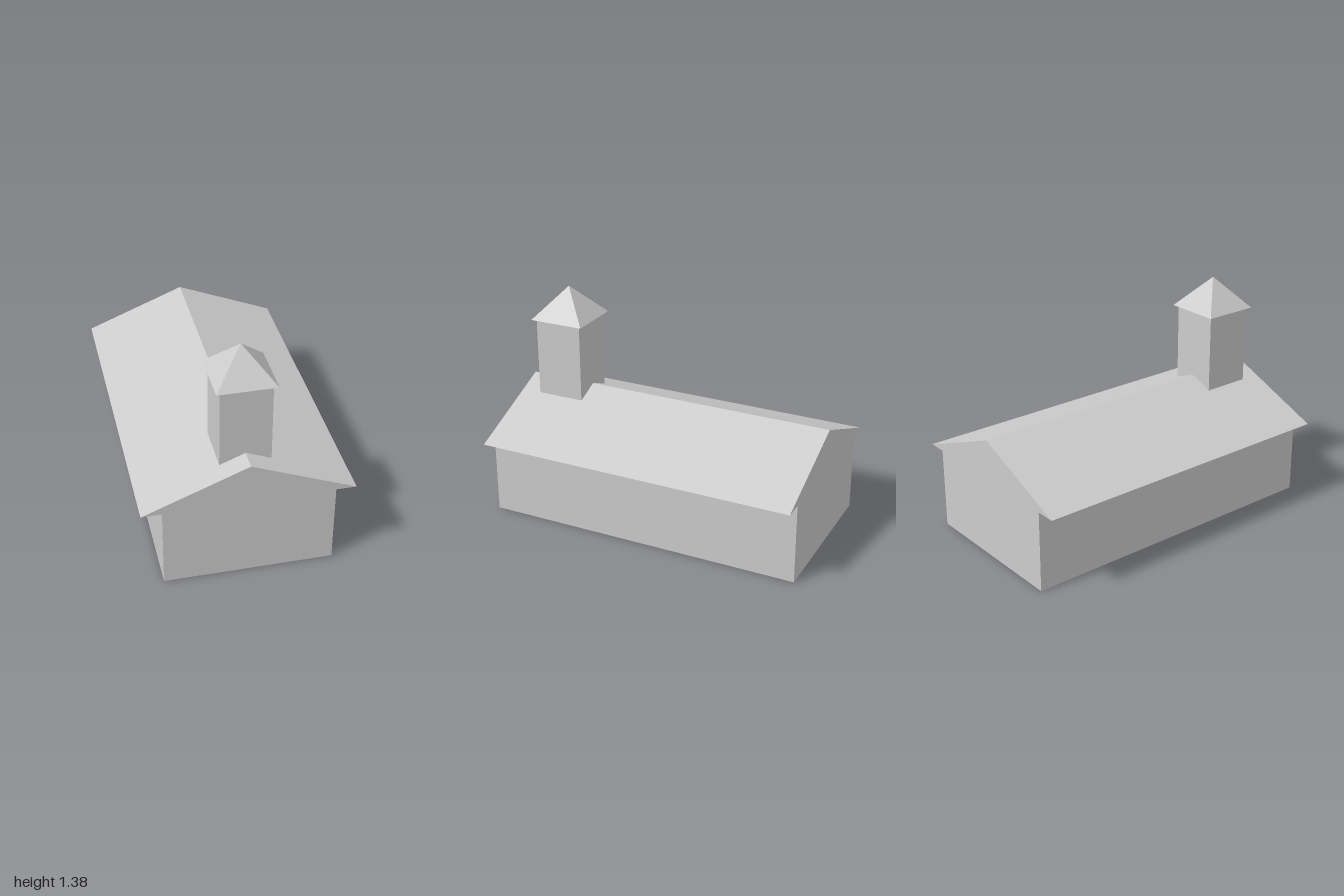
import * as THREE from 'three';

const material = new THREE.MeshStandardMaterial({ color: 0xcccccc, flatShading: true });

function addPart(group, name, geometry, x, y, z) {
  const mesh = new THREE.Mesh(geometry, material);
  mesh.name = name;
  mesh.position.set(x, y, z);
  group.add(mesh);
  return mesh;
}

export function createModel() {
  const group = new THREE.Group();
  group.name = 'chapel';

  const length = 2;
  const halfWall = 0.5, halfRoof = 0.62;
  const eaveY = 0.5, ridgeY = 0.75;

  // Hall: walls and overhanging gable roof as one gable-end profile
  const profile = new THREE.Shape([
    [-halfWall, 0], [halfWall, 0], [halfWall, eaveY], [halfRoof, eaveY],
    [0, ridgeY], [-halfRoof, eaveY], [-halfWall, eaveY],
  ].map(([x, y]) => new THREE.Vector2(x, y)));
  const hall = new THREE.ExtrudeGeometry(profile, { depth: length, bevelEnabled: false });
  addPart(group, 'hallWithGableRoof', hall, 0, 0, -length / 2);

  // Square tower standing over the ridge, its sides meeting the roof slopes
  const towerZ = 0.725, towerWidth = 0.3, towerTop = 1.18;
  const towerBase = ridgeY - (ridgeY - eaveY) * (towerWidth / 2) / halfRoof;
  const towerHeight = towerTop - towerBase;
  addPart(group, 'tower', new THREE.BoxGeometry(towerWidth, towerHeight, towerWidth),
    0, towerBase + towerHeight / 2, towerZ);

  // Four-sided pyramid cap with a small overhang
  const capHalf = 0.174, capHeight = 0.195;
  const cap = new THREE.ConeGeometry(capHalf * Math.SQRT2, capHeight, 4).rotateY(Math.PI / 4);
  addPart(group, 'towerRoof', cap, 0, towerTop + capHeight / 2, towerZ);

  return group;
}
